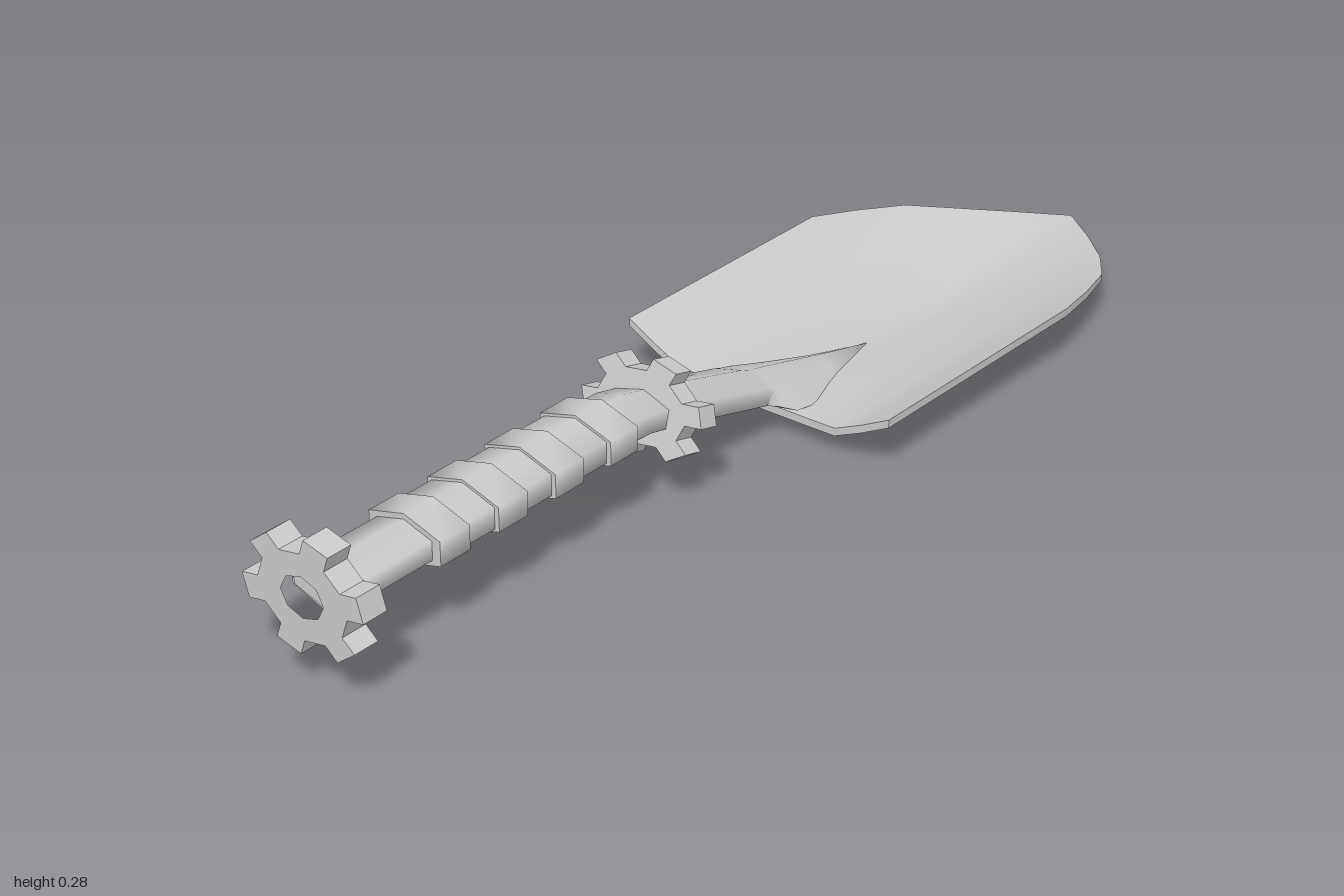
import * as THREE from 'three';
import { toCreasedNormals } from 'three/addons/utils/BufferGeometryUtils.js';

const material = new THREE.MeshStandardMaterial({ color: 0xcccccc });

function part(name, geometry) {
  const mesh = new THREE.Mesh(geometry, material);
  mesh.name = name;
  return mesh;
}

// Closed skin over cross-sections along x; each section is a loop of [x, y, z]
// running top -> +z -> bottom -> -z.
function loft(sections, crease) {
  const n = sections[0].length;
  const index = [];
  for (let i = 0; i < sections.length - 1; i++) {
    for (let j = 0; j < n; j++) {
      const k = (j + 1) % n;
      const a = i * n + j, b = i * n + k, c = a + n, d = b + n;
      index.push(a, b, c, b, d, c);
    }
  }
  const last = (sections.length - 1) * n;
  // End caps as strips between opposite sides of the loop
  for (let j = 0; j < n / 2 - 1; j++) {
    const a = j, b = j + 1, c = n - 2 - j, d = n - 1 - j;
    index.push(a, c, b, a, d, c);
    index.push(last + a, last + b, last + c, last + a, last + c, last + d);
  }
  const geometry = new THREE.BufferGeometry();
  geometry.setAttribute('position', new THREE.Float32BufferAttribute(sections.flat(2), 3));
  geometry.setIndex(index);
  return toCreasedNormals(geometry, crease);
}

// Flattened six-sided section: centre height, half height, upper and lower half width
function hexSection([x, y, h, top, bottom]) {
  return [
    [x, y + h, 0], [x, y + h / 2, top], [x, y - h / 2, bottom],
    [x, y - h, 0], [x, y - h / 2, -bottom], [x, y + h / 2, -top],
  ];
}

function hexBar(name, x0, x1, y, h, w) {
  return part(name, loft([x0, x1].map((x) => hexSection([x, y, h, w, w])), 1.35));
}

// Six-toothed wheel whose axis runs along x
function gear(name, depth, yScale, hole) {
  const root = 0.09, tip = 0.125, half = 0.026;
  const points = [];
  for (let i = 0; i < 6; i++) {
    const a = THREE.MathUtils.degToRad(16 + 60 * i);
    const s = Math.sin(a), c = Math.cos(a);
    const add = (t, r) => points.push(new THREE.Vector2(s * r + c * t, (c * r - s * t) * yScale));
    add(-half, root);
    add(-half, tip);
    add(half, tip);
    add(half, root);
  }
  const shape = new THREE.Shape(points);
  if (hole) {
    const opening = new THREE.Path();
    opening.absellipse(0, 0, hole, hole * yScale, 0, Math.PI * 2, true);
    shape.holes.push(opening);
  }
  const geometry = new THREE.ExtrudeGeometry(shape, { depth, bevelEnabled: false, curveSegments: 4 });
  geometry.translate(0, 0, -depth / 2);
  geometry.rotateY(-Math.PI / 2);
  return part(name, geometry);
}

// Dished blade section: half width, centre, shoulder and rim heights
function bladeSection([x, w, centre, shoulder, rim, thick]) {
  const steps = [0, 0.1, 0.2, 0.4, 0.6, 0.8, 1];
  const across = [...steps.slice(1).reverse().map((u) => -u), ...steps];
  const height = (u) => {
    const t = Math.abs(u);
    return t <= 0.6
      ? centre + (shoulder - centre) * Math.pow(t / 0.6, 1.25)
      : shoulder + (rim - shoulder) * Math.pow((t - 0.6) / 0.4, 1.1);
  };
  const upper = across.map((u) => [x, height(u), u * w]);
  const lower = across.map((u) => [x, height(u) - thick, u * w]).reverse();
  return [...upper, ...lower];
}

export function createModel() {
  const group = new THREE.Group();
  const axisY = 0.173;

  // Handle shaft, bent neck and the ridge that fades into the blade
  group.add(part('shaftAndNeck', loft([
    [-0.96, 0.173, 0.034, 0.058, 0.058],
    [-0.33, 0.173, 0.034, 0.058, 0.058],
    [-0.27, 0.17, 0.034, 0.058, 0.058],
    [-0.2, 0.154, 0.034, 0.057, 0.057],
    [0.03, 0.09, 0.032, 0.057, 0.057],
    [0.05, 0.083, 0.031, 0.058, 0.068],
    [0.07, 0.076, 0.033, 0.06, 0.09],
    [0.14, 0.06, 0.031, 0.045, 0.085],
    [0.24, 0.042, 0.022, 0.026, 0.055],
    [0.38, 0.02, 0.009, 0.006, 0.012],
  ].map(hexSection), 1.35)));

  // Grip: a low sleeve with four raised bands
  const grip = new THREE.Group();
  grip.name = 'grip';
  grip.add(hexBar('gripSleeve', -0.775, -0.325, axisY, 0.039, 0.066));
  for (let i = 0; i < 4; i++) {
    const x = -0.78 + i * 0.131;
    grip.add(hexBar('gripBand', x, x + 0.066, axisY, 0.044, 0.075));
  }
  group.add(grip);

  // Pommel wheel with its collar
  const pommel = gear('pommelWheel', 0.05, 0.81, 0.045);
  pommel.position.set(-0.975, axisY, 0);
  group.add(pommel, hexBar('pommelCollar', -0.955, -0.932, axisY, 0.044, 0.066));

  // Guard wheel, square to the sloping neck
  const guard = gear('guardWheel', 0.04, 0.67, 0);
  guard.position.set(-0.208, 0.158, 0);
  guard.rotation.z = -0.26;
  group.add(guard);

  // Blade
  group.add(part('blade', loft([
    [0.07, 0.282, 0.05, 0.054, 0.11, 0.015],
    [0.2, 0.282, 0.042, 0.054, 0.11, 0.015],
    [0.38, 0.282, 0.029, 0.054, 0.11, 0.015],
    [0.58, 0.282, 0.015, 0.054, 0.11, 0.015],
    [0.68, 0.255, 0.021, 0.05, 0.094, 0.014],
    [0.78, 0.22, 0.026, 0.046, 0.077, 0.012],
    [0.87, 0.155, 0.032, 0.043, 0.056, 0.009],
    [0.94, 0.08, 0.036, 0.041, 0.046, 0.007],
    [1, 0.003, 0.04, 0.04, 0.04, 0.005],
  ].map(bladeSection), 0.6)));

  return group;
}
